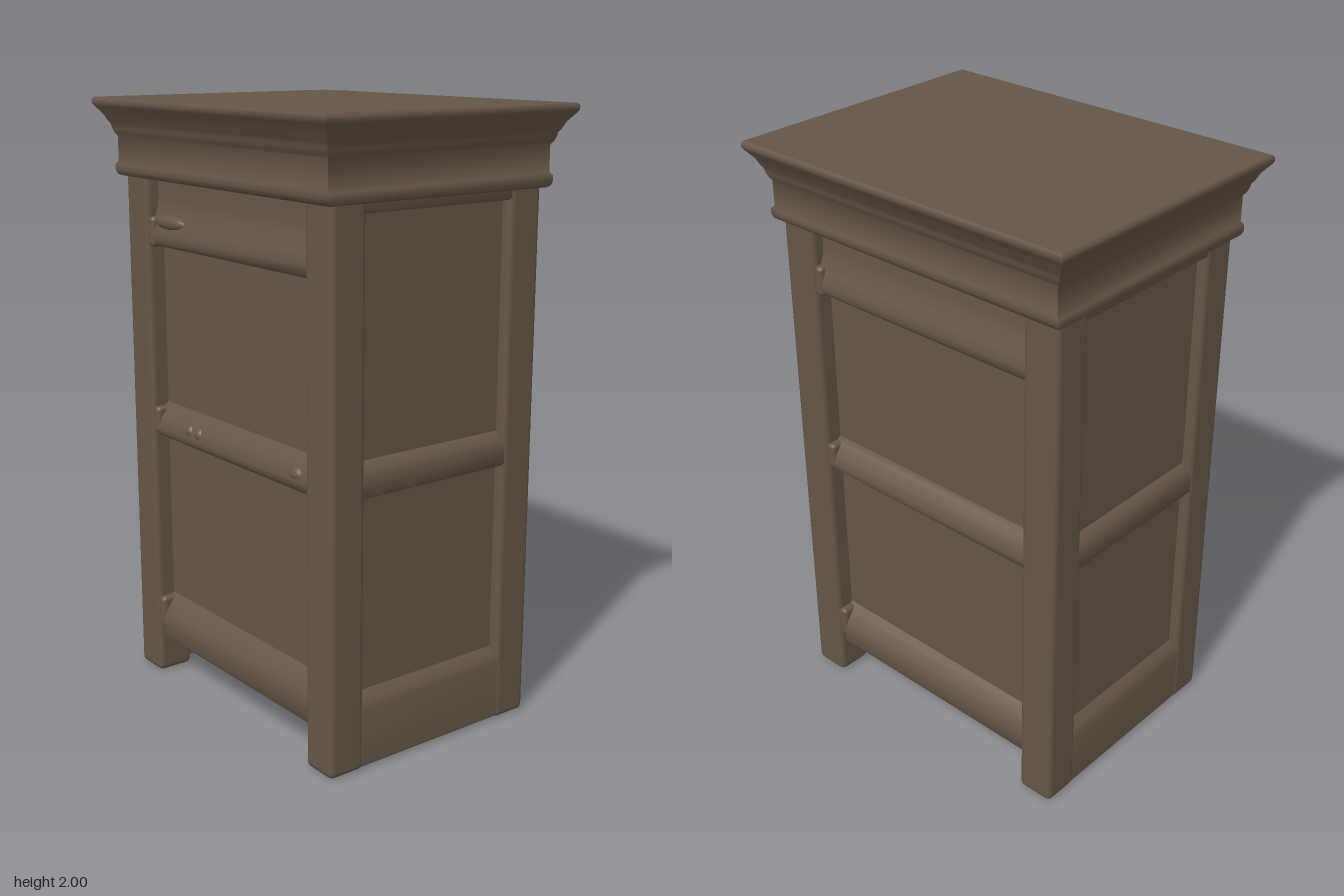
import * as THREE from 'three';
import { toCreasedNormals } from 'three/addons/utils/BufferGeometryUtils.js';
import { RoundedBoxGeometry } from 'three/addons/geometries/RoundedBoxGeometry.js';

const wood = new THREE.MeshStandardMaterial({ color: 0x665545 });
wood.name = 'brown wood';

function add(parent, name, geometry, x = 0, y = 0, z = 0) {
  const mesh = new THREE.Mesh(geometry, wood);
  mesh.name = name;
  mesh.position.set(x, y, z);
  parent.add(mesh);
  return mesh;
}

// Box given by its limits, with softened edges
function block(parent, name, [x0, x1], [y0, y1], [z0, z1], r = 0.012) {
  return add(parent, name, new RoundedBoxGeometry(x1 - x0, y1 - y0, z1 - z0, 2, r),
    (x0 + x1) / 2, (y0 + y1) / 2, (z0 + z1) / 2);
}

// Moulded rail running along x; profile points are [z, y], counter-clockwise
function rail(parent, name, length, profile) {
  const shape = new THREE.Shape(profile.map(([z, y]) => new THREE.Vector2(z, y)));
  const geometry = new THREE.ExtrudeGeometry(shape, { depth: length, bevelEnabled: false, steps: 1 });
  geometry.translate(0, 0, -length / 2).rotateY(-Math.PI / 2);
  return add(parent, name, toCreasedNormals(geometry, 0.75));
}

// Rectangular moulding; each profile entry is [y, half width, half depth]
function moulding(profile) {
  const pos = [];
  const ring = ([y, w, d]) => [[-w, y, d], [w, y, d], [w, y, -d], [-w, y, -d]];
  const quad = (a, b, c, d) => pos.push(...a, ...b, ...c, ...a, ...c, ...d);
  const rings = profile.map(ring);
  for (let i = 0; i < rings.length - 1; i++) {
    for (let k = 0; k < 4; k++) {
      const n = (k + 1) % 4;
      quad(rings[i][k], rings[i][n], rings[i + 1][n], rings[i + 1][k]);
    }
  }
  const [lo, hi] = [rings[0], rings[rings.length - 1]];
  quad(lo[3], lo[2], lo[1], lo[0]);
  quad(hi[0], hi[1], hi[2], hi[3]);
  const geometry = new THREE.BufferGeometry();
  geometry.setAttribute('position', new THREE.Float32BufferAttribute(pos, 3));
  return toCreasedNormals(geometry, 0.8);
}

export function createModel() {
  const model = new THREE.Group();
  model.name = 'cabinet';

  // Recessed body panels
  add(model, 'body', new THREE.BoxGeometry(1.05, 1.65, 0.69), 0, 0.955, 0);

  // Corner posts with feet
  for (const sx of [-1, 1]) {
    for (const sz of [-1, 1]) {
      const post = block(model, 'cornerPost', [-0.065, 0.065], [0, 1.78], [-0.065, 0.065], 0.02);
      post.position.x = sx * 0.495;
      post.position.z = sz * 0.343;
    }
  }

  // Open faces, front and back: upper, middle and lower rails
  for (const side of ['front', 'back']) {
    const face = new THREE.Group();
    face.name = side + 'Face';
    face.rotation.y = side === 'front' ? 0 : Math.PI;
    model.add(face);
    rail(face, 'upperRail', 0.9, [
      [0.3, 1.525], [0.385, 1.525], [0.398, 1.54], [0.398, 1.565], [0.385, 1.6],
      [0.368, 1.64], [0.362, 1.68], [0.362, 1.77], [0.3, 1.77]]);
    rail(face, 'middleRail', 0.9, [
      [0.3, 0.875], [0.385, 0.875], [0.398, 0.89], [0.398, 0.91], [0.388, 0.94],
      [0.365, 0.97], [0.345, 0.985], [0.3, 0.985]]);
    rail(face, 'lowerRail', 0.9, [
      [0.3, 0.128], [0.38, 0.128], [0.385, 0.135], [0.385, 0.178], [0.398, 0.182],
      [0.4, 0.2], [0.39, 0.235], [0.365, 0.27], [0.345, 0.29], [0.3, 0.29]]);
    // Worn blocks where the rails meet the post
    for (const [y, h] of [[1.57, 0.1], [0.93, 0.09], [0.235, 0.1]]) {
      block(face, 'railEndBlock', [-0.44, -0.405], [y - h / 2, y + h / 2], [0.34, 0.402], 0.014);
    }
  }

  // Small raised knots on the front rails
  for (const [x, y, w] of [[-0.33, 1.605, 0.09], [-0.23, 0.925, 0.025], [-0.175, 0.925, 0.025], [0.36, 0.925, 0.04]]) {
    const knot = add(model, 'railKnot', new THREE.SphereGeometry(1, 16, 10), x, y, 0.375);
    knot.scale.set(w, 0.025, 0.025);
  }

  // Panelled sides: top, middle and base boards between the posts
  for (const s of [-1, 1]) {
    const face = new THREE.Group();
    face.name = s > 0 ? 'leftSide' : 'rightSide';
    face.rotation.y = s * Math.PI / 2;
    model.add(face);
    rail(face, 'topBoard', 0.6, [
      [0.48, 1.715], [0.55, 1.715], [0.556, 1.722], [0.556, 1.78], [0.48, 1.78]]);
    rail(face, 'middleBoard', 0.6, [
      [0.48, 0.875], [0.55, 0.875], [0.556, 0.882], [0.556, 0.94], [0.547, 0.965],
      [0.525, 0.985], [0.48, 0.985]]);
    rail(face, 'baseBoard', 0.6, [
      [0.48, 0.006], [0.55, 0.006], [0.557, 0.013], [0.557, 0.2], [0.548, 0.225],
      [0.525, 0.25], [0.48, 0.25]]);
  }

  // Cornice with bead, frieze and flared top
  add(model, 'cornice', moulding([
    [1.745, 0.565, 0.418], [1.75, 0.576, 0.428], [1.765, 0.581, 0.434], [1.782, 0.58, 0.433],
    [1.793, 0.57, 0.427], [1.875, 0.57, 0.427], [1.885, 0.578, 0.434], [1.9, 0.584, 0.44],
    [1.912, 0.586, 0.442], [1.92, 0.593, 0.447], [1.945, 0.605, 0.459], [1.972, 0.627, 0.48],
    [1.98, 0.632, 0.485], [1.993, 0.632, 0.485], [2, 0.626, 0.479]]));

  return model;
}
